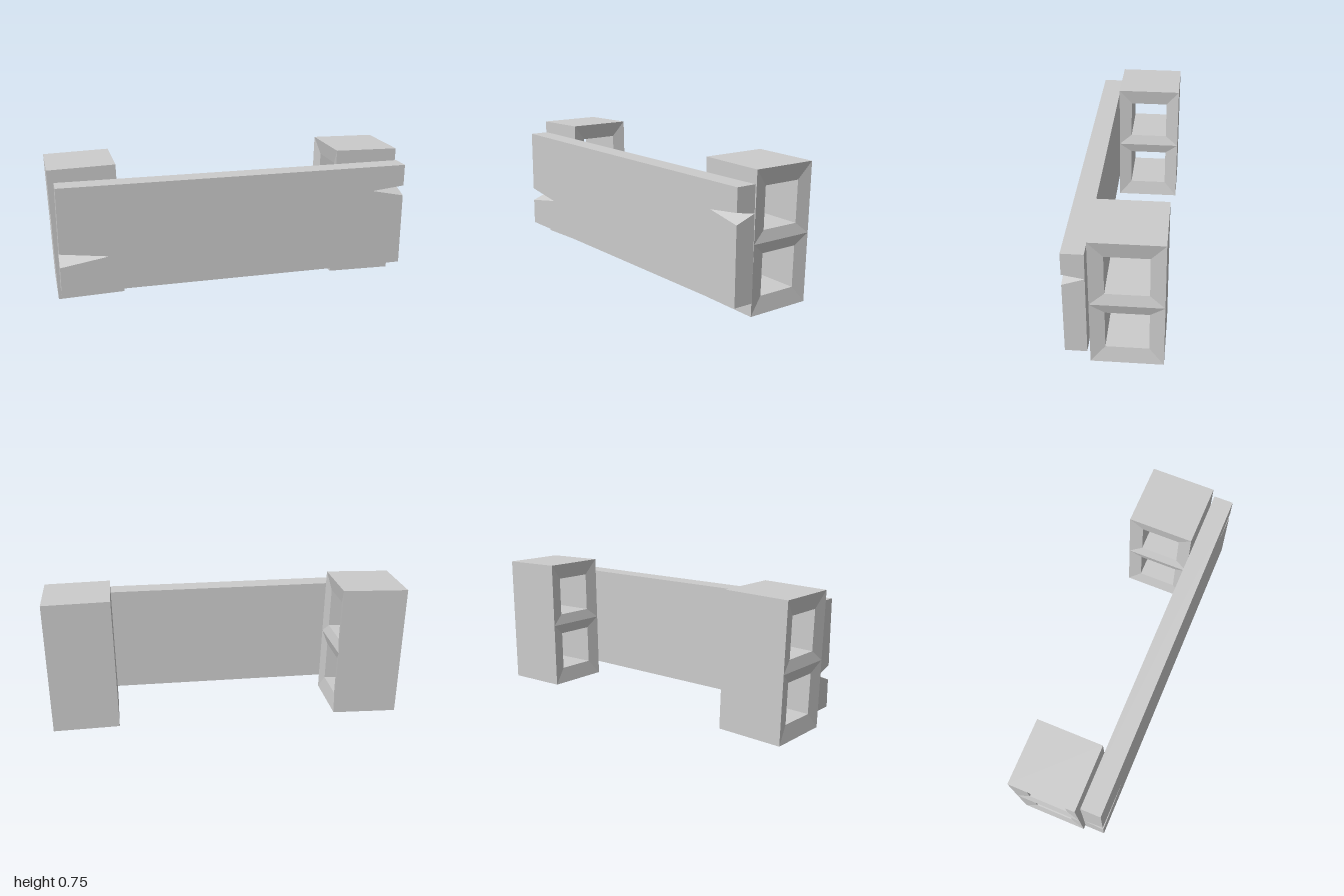
import * as THREE from 'three';

const material = new THREE.MeshStandardMaterial({ color: 0xcccccc, flatShading: true });

// Rectangle in the (y, z) plane at a given x, counter-clockwise seen from +x
const rectLoop = (x, y0, y1, front, back) => [
  [x, y0, front], [x, y0, back], [x, y1, back], [x, y1, front],
];

// Quads joining each loop to the next one
function bridge(loops, out) {
  for (let k = 0; k < loops.length - 1; k++) {
    const a = loops[k], b = loops[k + 1];
    for (let i = 0; i < 4; i++) {
      const j = (i + 1) % 4;
      out.push(...a[i], ...a[j], ...b[j], ...a[i], ...b[j], ...b[i]);
    }
  }
}

// Hollow block: two through holes with funnel-shaped rims that meet in a ridge
function blockGeometry() {
  const W = 0.1825, H = 0.369, recess = 0.016;
  const front = 0.123, back = -0.247, holeFront = 0.048, holeBack = -0.172;
  const positions = [];
  // outer walls
  bridge([rectLoop(-W, -H, H, front, back), rectLoop(W, -H, H, front, back)], positions);
  // rim, tunnel and opposite rim of the lower and upper hole
  for (const [o0, o1, h0, h1] of [[-H, 0, -0.28, -0.059], [0, H, 0.059, 0.28]]) {
    bridge([
      rectLoop(W, o0, o1, front, back),
      rectLoop(W - recess, h0, h1, holeFront, holeBack),
      rectLoop(recess - W, h0, h1, holeFront, holeBack),
      rectLoop(-W, o0, o1, front, back),
    ], positions);
  }
  const geometry = new THREE.BufferGeometry();
  geometry.setAttribute('position', new THREE.Float32BufferAttribute(positions, 3));
  geometry.computeVertexNormals();
  return geometry;
}

// Plank with a splintered notch at each end; notches close to a point at the back
function plankGeometry() {
  const x0 = -0.965, x1 = 1, y0 = 0.08, y1 = 0.672;
  const notches = [
    { end: x1, tip: 0.81, low: 0.49, high: 0.55, mid: 0.53 },
    { end: x0, tip: -0.7, low: 0.232, high: 0.31, mid: 0.275 },
  ];
  const [r, l] = notches;
  const outline = [
    [x0, y0], [x1, y0], [x1, r.low], [r.tip, r.mid], [x1, r.high],
    [x1, y1], [x0, y1], [x0, l.high], [l.tip, l.mid], [x0, l.low],
  ].map(([x, y]) => new THREE.Vector2(x, y));
  const geometry = new THREE.ExtrudeGeometry(new THREE.Shape(outline), { depth: 0.113, bevelEnabled: false });

  const p = geometry.attributes.position;
  for (let i = 0; i < p.count; i++) {
    if (p.getZ(i) > 0.01) continue;
    const x = p.getX(i), y = p.getY(i);
    if (y < y0 + 0.01 || y > y1 - 0.01) continue;
    const n = x > 0 ? r : l;
    p.setXY(i, n.end, n.mid);
  }
  geometry.translate(0, 0, 0.135);
  geometry.computeVertexNormals();
  return geometry;
}

export function createModel() {
  const group = new THREE.Group();

  const plank = new THREE.Mesh(plankGeometry(), material);
  plank.name = 'plank';
  group.add(plank);

  // two slightly tilted blocks behind the plank
  const geometry = blockGeometry();
  for (const [name, x, tilt] of [['leftBlock', 0.808, -0.02], ['rightBlock', -0.806, 0.028]]) {
    const block = new THREE.Mesh(geometry, material);
    block.name = name;
    block.position.set(x, 0.3745, 0);
    block.rotation.z = tilt;
    group.add(block);
  }
  return group;
}
